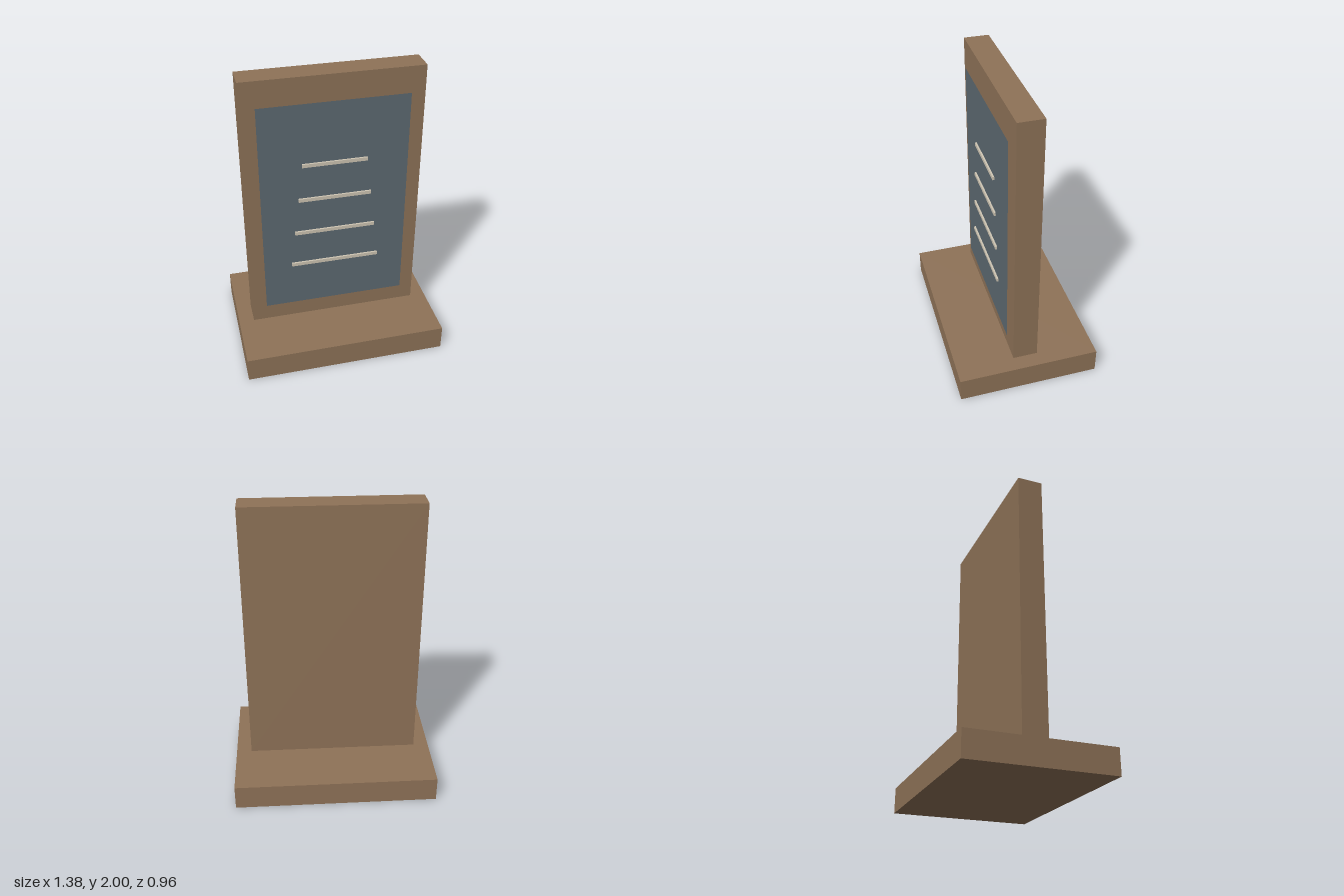
import * as THREE from 'three';

export function createModel() {
  const model = new THREE.Group();
  const wood = new THREE.MeshStandardMaterial({ color: 0x8f7358 });
  const slate = new THREE.MeshStandardMaterial({ color: 0x5d6a72, side: THREE.DoubleSide });
  const pale = new THREE.MeshStandardMaterial({ color: 0xcfc6b4 });

  const add = (name, geometry, material, x, y, z) => {
    const mesh = new THREE.Mesh(geometry, material);
    mesh.name = name;
    mesh.position.set(x, y, z);
    model.add(mesh);
  };

  // Base slab and upright board
  const baseHeight = 0.172;
  const boardHeight = 2 - baseHeight;
  add('base', new THREE.BoxGeometry(1.38, baseHeight, 0.96), wood, 0, baseHeight / 2, 0);
  add('board', new THREE.BoxGeometry(1.172, boardHeight, 0.168), wood, 0, baseHeight + boardHeight / 2, 0);

  // Thin face panel held just in front of the board
  add('panel', new THREE.PlaneGeometry(0.98, 1.53), slate, 0, 1.065, 0.102);

  // Raised lines, each longer than the one above
  for (let i = 0; i < 4; i++) {
    const width = 0.43 + i * 0.057;
    add(`line${i + 1}`, new THREE.BoxGeometry(width, 0.024, 0.012), pale, 0, 1.408 - i * 0.2555, 0.113);
  }

  return model;
}
